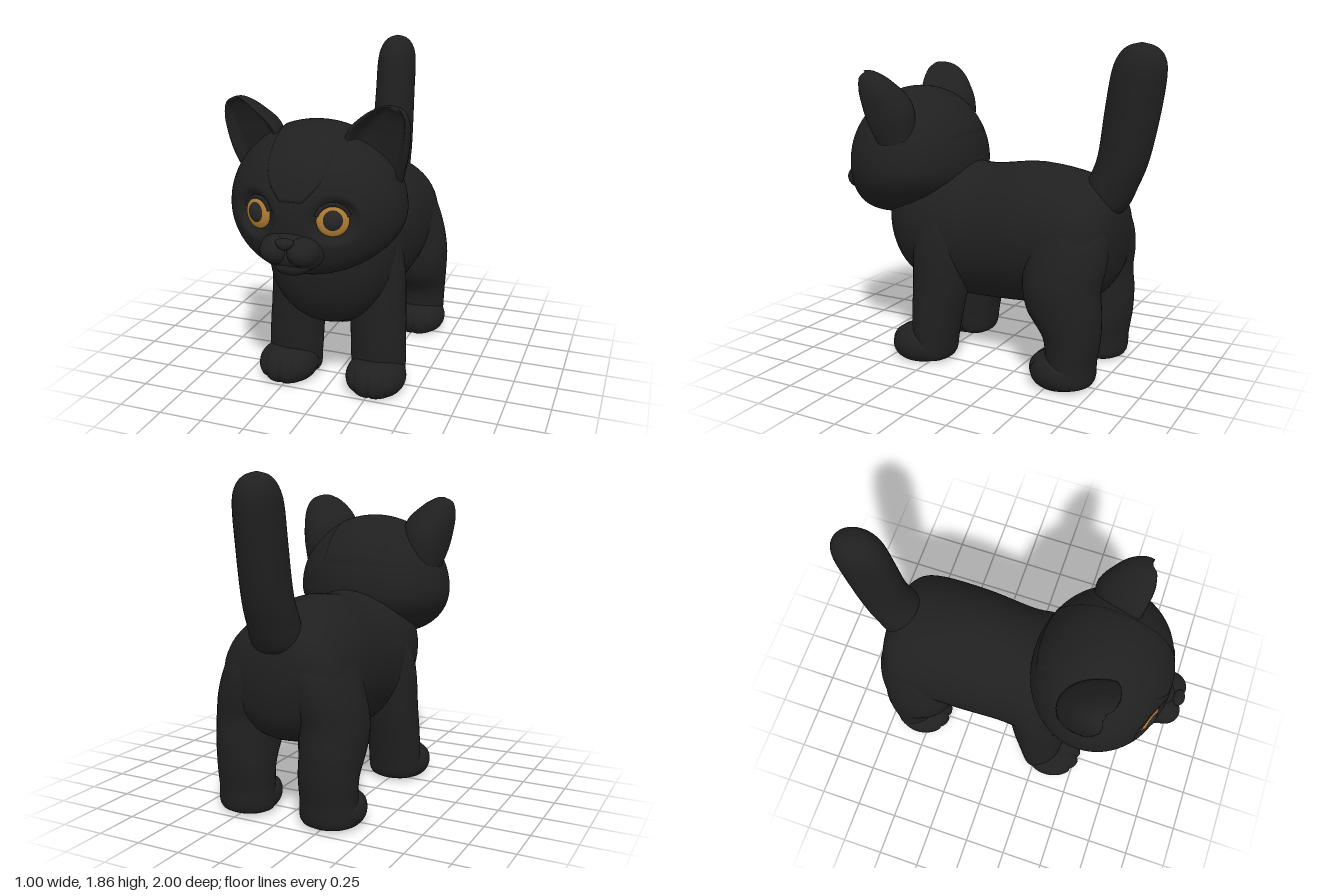
import * as THREE from 'three';
import { mergeVertices } from 'three/addons/utils/BufferGeometryUtils.js';

const { smoothstep } = THREE.MathUtils;

const material = (name, color) => {
  const m = new THREE.MeshStandardMaterial({ color });
  m.name = name;
  return m;
};

// Catmull-Rom interpolation through rows of numbers
function spline(rows, steps) {
  const out = [], at = i => rows[Math.min(Math.max(i, 0), rows.length - 1)];
  for (let i = 0; i < rows.length - 1; i++) {
    for (let s = 0; s < steps; s++) {
      const t = s / steps;
      out.push(rows[i].map((b, k) => {
        const a = at(i - 1)[k], c = at(i + 1)[k], d = at(i + 2)[k];
        return b + 0.5 * t * (c - a + t * (2 * a - 5 * b + 4 * c - d + t * (3 * (b - c) + d - a)));
      }));
    }
  }
  out.push(rows[rows.length - 1]);
  return out;
}

// Surface through rows of points, optionally closed around each row
function skin(rings, closed = true) {
  const n = rings[0].length, index = [];
  for (let r = 0; r < rings.length - 1; r++) {
    for (let a = 0; a < (closed ? n : n - 1); a++) {
      const b = (a + 1) % n, p = r * n, q = p + n;
      index.push(p + a, q + a, p + b, p + b, q + a, q + b);
    }
  }
  const geo = new THREE.BufferGeometry();
  geo.setAttribute('position', new THREE.Float32BufferAttribute(rings.flat(2), 3));
  geo.setIndex(index);
  geo.computeVertexNormals();
  return geo;
}

const around = (count, f) =>
  Array.from({ length: count }, (_, i) => f(Math.cos(i / count * Math.PI * 2), Math.sin(i / count * Math.PI * 2)));

// rows: [y, centre x, centre z, radius x, radius z], upwards
const loftY = rows => skin(spline(rows, 5).map(([y, cx, cz, rx, rz]) =>
  around(36, (c, s) => [cx + Math.max(rx, 0) * c, y, cz + Math.max(rz, 0) * s])));

// rows: [z, centre y, radius x, radius y], forwards
const loftZ = rows => skin(spline(rows, 5).map(([z, cy, rx, ry]) =>
  around(48, (c, s) => [Math.max(rx, 0) * c, cy - Math.max(ry, 0) * s, z])));

// Unit sphere reshaped by a rule
function reshape(rule, w = 48, h = 32) {
  let geo = new THREE.SphereGeometry(1, w, h);
  geo.deleteAttribute('uv');
  geo.deleteAttribute('normal');
  geo = mergeVertices(geo, 1e-5);
  const p = geo.attributes.position;
  for (let i = 0; i < p.count; i++) p.setXYZ(i, ...rule(p.getX(i), p.getY(i), p.getZ(i)));
  geo.computeVertexNormals();
  return geo;
}

function mirrored(geo) {
  const g = geo.clone().scale(-1, 1, 1), ix = g.index.array;
  for (let i = 0; i < ix.length; i += 3) [ix[i], ix[i + 1]] = [ix[i + 1], ix[i]];
  g.computeVertexNormals();
  return g;
}

// Head: wide low cheeks, taller crown, jaw pushed forward and shallow eye sockets
function headPoint(x, y, z, scale = 1) {
  const px = x * scale * 0.475;
  const py = 1.13 + y * scale * (y > 0 ? 0.44 : 0.32);
  let pz = 0.51 + z * scale * 0.395 + (y < 0 ? 0.15 * y * y : 0);
  if (z > 0) pz -= 0.05 * (1 - smoothstep(Math.hypot(Math.abs(px) - 0.21, py - 1.15), 0.07, 0.13));
  return [px, py, pz];
}

// Raised fur panel running from the brow over the crown
function crownPanel() {
  const rows = spline([[0.25, 0.06], [0.5, 0.14], [0.8, 0.17], [1.3, 0.18], [1.9, 0.2], [2.75, 0.2]], 8);
  return skin(rows.map(([phi, w], r) => Array.from({ length: 25 }, (_, i) => {
    const u = 1 - i / 12, x = w * u / 0.475, k = Math.sqrt(1 - x * x);
    const edge = r === 0 || r === rows.length - 1 || Math.abs(u) > 0.99;
    return headPoint(x, k * Math.sin(phi), k * Math.cos(phi), edge ? 0.99 : 1.015);
  })), false);
}

// Ear rows: inner x, inner y, outer x, outer y, inner z, outer z, back depth, cup depth
function ear() {
  const rows = [
    [0.15, 1.43, 0.42, 1.20, 0.59, 0.46, 0.17, 0.03],
    [0.20, 1.56, 0.475, 1.38, 0.61, 0.53, 0.22, 0.06],
    [0.29, 1.645, 0.499, 1.53, 0.625, 0.56, 0.17, 0.06],
    [0.355, 1.68, 0.496, 1.61, 0.615, 0.57, 0.11, 0.04],
    [0.395, 1.69, 0.475, 1.66, 0.60, 0.575, 0.05, 0.01],
    [0.432, 1.685, 0.436, 1.683, 0.59, 0.59, 0, 0],
  ];
  return skin(spline(rows, 5).map(([ix, iy, ox, oy, iz, oz, back, cup], r, all) => around(48, (c, s) => {
    const rim = 0.03 * Math.min(1, (all.length - 1 - r) / 6);
    const dip = cup * smoothstep(s, 0.5, 0.8);
    const depth = s < 0 ? back * s : rim * Math.min(1, s * 2) - dip;
    const mix = (p, q) => (p + q) / 2 + (q - p) / 2 * c;
    return [mix(ix, ox), mix(iy, oy), mix(iz, oz) + depth];
  })));
}

// Paw with a flat sole and three grooves between the toes
const paw = (cx, cz, rz) => reshape((x, y, z) => {
  const h = Math.hypot(x, z), k = h > 1e-4 ? Math.pow(h, 0.65) / h : 1;
  const groove = 0.02 * Math.max(0, z) * (1 - Math.abs(Math.sin(x * Math.PI * 2))) ** 2;
  return [cx + x * k * 0.172, Math.max(0, 0.085 + y * 0.105), cz + z * k * rz - groove];
}, 80, 28);

export function createModel() {
  const model = new THREE.Group();
  model.name = 'kitten';
  const fur = material('black fur', 0x202020);
  const amber = material('amber iris', 0xb07c32);
  const black = material('pupil', 0x262626);

  const add = (name, geo, mat = fur) => {
    const m = new THREE.Mesh(geo, mat);
    m.name = name;
    model.add(m);
    return m;
  };
  const pair = (name, geo) => {
    add('left' + name, geo);
    add('right' + name, mirrored(geo));
  };
  const blob = (x, y, z, rx, ry, rz) =>
    reshape((a, b, c) => [x + a * rx, y + b * ry, z + c * rz], 32, 20);

  // Trunk and tail
  add('body', loftZ([
    [-0.79, 0.8, 0, 0], [-0.782, 0.8, 0.13, 0.12], [-0.74, 0.79, 0.28, 0.25], [-0.62, 0.78, 0.36, 0.345],
    [-0.3, 0.775, 0.365, 0.405], [0, 0.75, 0.35, 0.4], [0.15, 0.755, 0.36, 0.4], [0.35, 0.77, 0.345, 0.385],
    [0.5, 0.79, 0.3, 0.335], [0.59, 0.82, 0.22, 0.24], [0.63, 0.84, 0.11, 0.12], [0.64, 0.84, 0, 0],
  ]));
  add('tail', loftY([
    [0.88, 0, -0.65, 0, 0], [0.95, 0, -0.67, 0.13, 0.12], [1.1, 0, -0.725, 0.138, 0.142],
    [1.25, 0, -0.78, 0.13, 0.142], [1.5, 0, -0.822, 0.122, 0.152], [1.7, 0, -0.85, 0.118, 0.149],
    [1.79, 0, -0.86, 0.097, 0.124], [1.84, 0, -0.86, 0.057, 0.074], [1.86, 0, -0.86, 0, 0],
  ]));

  // Legs and paws
  pair('FrontLeg', loftY([
    [0, 0.25, 0.26, 0, 0], [0.02, 0.255, 0.26, 0.14, 0.1], [0.15, 0.255, 0.26, 0.16, 0.13],
    [0.3, 0.25, 0.25, 0.16, 0.15], [0.45, 0.24, 0.235, 0.162, 0.165], [0.65, 0.22, 0.225, 0.172, 0.18],
    [0.8, 0.19, 0.215, 0.175, 0.18], [0.95, 0.15, 0.21, 0.145, 0.145], [1.05, 0.13, 0.2, 0, 0],
  ]));
  pair('HindLeg', loftY([
    [0, 0.255, -0.6, 0, 0], [0.02, 0.255, -0.6, 0.15, 0.125], [0.15, 0.255, -0.605, 0.16, 0.14],
    [0.28, 0.255, -0.605, 0.165, 0.16], [0.42, 0.26, -0.56, 0.175, 0.21], [0.55, 0.255, -0.54, 0.185, 0.22],
    [0.7, 0.225, -0.545, 0.187, 0.235], [0.85, 0.185, -0.54, 0.177, 0.23], [0.98, 0.14, -0.52, 0.15, 0.18],
    [1.07, 0.12, -0.5, 0, 0],
  ]));
  pair('FrontPaw', paw(0.268, 0.345, 0.185));
  pair('HindPaw', paw(0.265, -0.55, 0.18));

  // Head, crown panel and ears
  add('head', reshape((x, y, z) => headPoint(x, y, z), 120, 80));
  add('crownPanel', crownPanel());
  pair('Ear', ear());

  // Muzzle, chin and nose
  add('muzzle', blob(0, 0.985, 0.86, 0.165, 0.112, 0.1));
  pair('MuzzlePad', blob(0.072, 1.0, 0.9, 0.085, 0.075, 0.095));
  add('chin', blob(0, 0.92, 0.885, 0.1, 0.055, 0.065));
  add('nose', reshape((x, y, z) =>
    [x * 0.045 * (1 + 0.4 * y), 1.05 + y * 0.03, 0.965 + z * 0.034], 24, 16));

  // Eyes: shallow amber domes, dark pupils and thin upper lids
  for (const side of [1, -1]) {
    const name = side > 0 ? 'left' : 'right';
    const [x, y, z] = [0.2 * side, 1.15, 0.832];
    const face = m => {
      m.position.set(x, y, z);
      m.lookAt(x + 0.4 * side, y + 0.03, z + 1);
    };
    face(add(name + 'Iris', blob(0, 0, 0, 0.082, 0.08, 0.025), amber));
    face(add(name + 'Pupil', blob(0, 0.006, 0, 0.058, 0.06, 0.037), black));
    const lid = new THREE.TorusGeometry(0.084, 0.012, 8, 24, Math.PI * 0.8).rotateZ(Math.PI * 0.1);
    face(add(name + 'UpperLid', lid));
  }
  return model;
}
